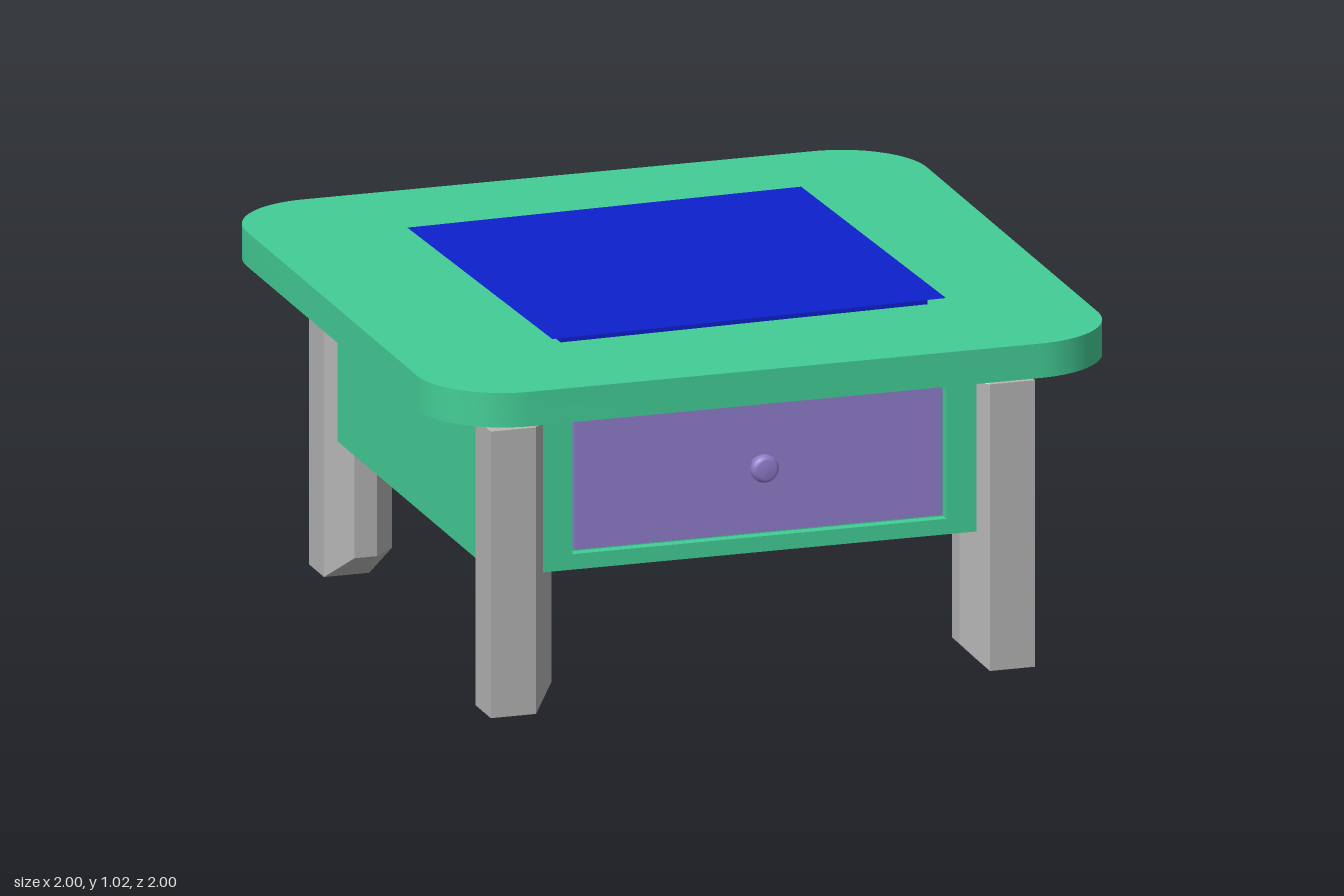
import * as THREE from 'three';
import { toCreasedNormals } from 'three/addons/utils/BufferGeometryUtils.js';
import { ConvexGeometry } from 'three/addons/geometries/ConvexGeometry.js';

const green = new THREE.MeshStandardMaterial({ name: 'green paint', color: 0x43cd96 });
const purple = new THREE.MeshStandardMaterial({ name: 'purple drawer', color: 0x8e7cca });
const grey = new THREE.MeshStandardMaterial({ name: 'grey leg', color: 0xb3b3b3 });
const blue = new THREE.MeshStandardMaterial({ name: 'blue mat', color: 0x0d20cc });

function add(parent, name, geometry, material, x = 0, y = 0, z = 0) {
  const mesh = new THREE.Mesh(geometry, material);
  mesh.name = name;
  mesh.position.set(x, y, z);
  parent.add(mesh);
  return mesh;
}

function rectangle(Type, x0, y0, x1, y1) {
  const r = new Type();
  r.moveTo(x0, y0);
  r.lineTo(x1, y0);
  r.lineTo(x1, y1);
  r.lineTo(x0, y1);
  r.closePath();
  return r;
}

// Square slab with large rounded corners, lying flat
function tabletopGeometry(half, radius, height) {
  const s = new THREE.Shape();
  const c = half - radius;
  s.absarc(c, c, radius, 0, Math.PI / 2);
  s.absarc(-c, c, radius, Math.PI / 2, Math.PI);
  s.absarc(-c, -c, radius, Math.PI, Math.PI * 1.5);
  s.absarc(c, -c, radius, Math.PI * 1.5, Math.PI * 2);
  s.closePath();
  const g = new THREE.ExtrudeGeometry(s, { depth: height, bevelEnabled: false, curveSegments: 14 });
  g.rotateX(-Math.PI / 2);
  return toCreasedNormals(g, 0.5);
}

// Chamfered post: only the outer vertical edge and outer bottom edges stay sharp
function legGeometry(sx, sz) {
  const a = 0.6, b = 0.667, c = 0.733, d = 0.8;
  const low = 0.067, high = 0.833;
  const points = [];
  const put = (x, y, z) => points.push(new THREE.Vector3(x * sx, y, z * sz));
  for (const x of [b, d]) for (const z of [b, d]) put(x, 0, z);
  for (const x of [b, c]) for (const z of [b, c]) put(x, 0.9, z);
  for (const t of [b, c]) {
    for (const y of [low, high]) {
      put(a, y, t);
      put(t, y, a);
    }
  }
  for (const [x, z] of [[b, d], [c, d], [d, b], [d, c], [d, d]]) put(x, high, z);
  return new ConvexGeometry(points);
}

// Drawer front and knob set in a shallow framed recess, facing +z
function drawerFace() {
  const face = new THREE.Group();
  const frame = rectangle(THREE.Shape, -0.77, 0.4, 0.77, 0.9);
  frame.holes.push(rectangle(THREE.Path, -0.55, 0.445, 0.55, 0.86));
  add(face, 'drawerFrame', new THREE.ExtrudeGeometry(frame, { depth: 0.03, bevelEnabled: false }), green, 0, 0, 0.74);
  add(face, 'drawerFront', new THREE.BoxGeometry(1.08, 0.395, 0.03), purple, 0, 0.6525, 0.748);

  const profile = [[0.022, 0], [0.022, 0.032], [0.034, 0.037], [0.04, 0.047],
    [0.04, 0.06], [0.036, 0.069], [0.027, 0.074], [0, 0.075]].map(p => new THREE.Vector2(...p));
  const knob = new THREE.LatheGeometry(profile, 20);
  knob.rotateX(Math.PI / 2);
  add(face, 'drawerKnob', knob, purple, 0, 0.655, 0.76);
  return face;
}

export function createModel() {
  const table = new THREE.Group();
  table.name = 'table';

  add(table, 'tabletop', tabletopGeometry(1, 0.25, 0.1), green, 0, 0.9, 0);
  add(table, 'cabinet', new THREE.BoxGeometry(1.54, 0.5, 1.48), green, 0, 0.65, 0);

  // Matching drawers on front and back
  for (const [name, turn] of [['frontDrawer', 0], ['backDrawer', Math.PI]]) {
    const face = drawerFace();
    face.name = name;
    face.rotation.y = turn;
    table.add(face);
  }

  for (const sx of [1, -1]) {
    for (const sz of [1, -1]) {
      add(table, (sz > 0 ? 'front' : 'back') + (sx > 0 ? 'Left' : 'Right') + 'Leg', legGeometry(sx, sz), grey);
    }
  }

  // Slightly turned mat: a pad under a wider thin sheet
  const mat = new THREE.Group();
  mat.name = 'mat';
  mat.position.set(0.0125, 1, 0.004);
  mat.rotation.y = 0.03;
  add(mat, 'matPad', new THREE.BoxGeometry(1.09, 0.023, 1.09), blue, 0, 0.0115, 0);
  const sheet = new THREE.PlaneGeometry(1.17, 1.17);
  sheet.rotateX(-Math.PI / 2);
  add(mat, 'matSheet', sheet, blue, 0, 0.025, 0);
  table.add(mat);

  return table;
}
